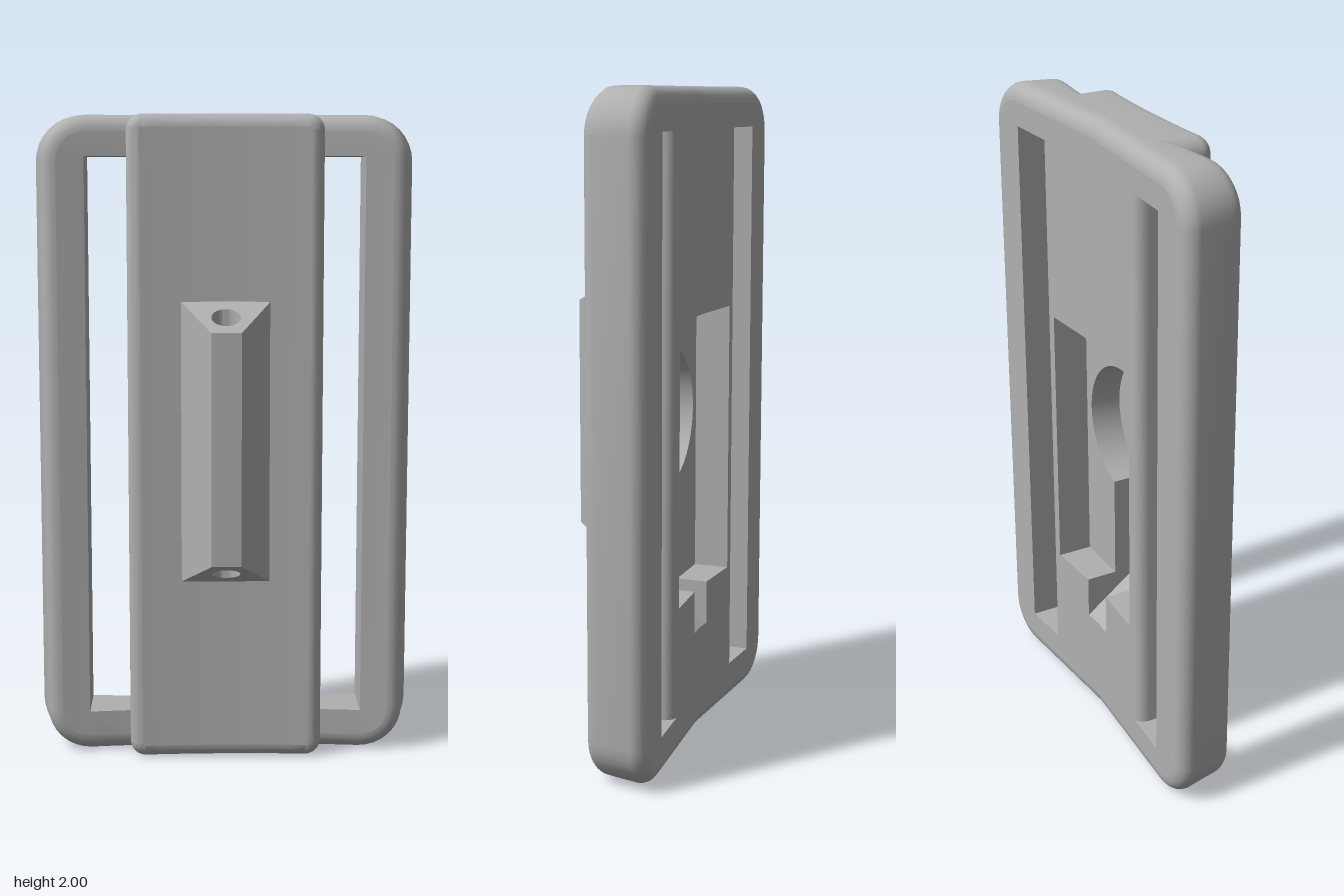
import * as THREE from 'three';
import { toCreasedNormals } from 'three/addons/utils/BufferGeometryUtils.js';

const V = (x, y, z) => new THREE.Vector3(x, y, z);

// Depth rules: the plate thickens and the front bows outward away from the middle
const backZ = (x) => -0.175 - 0.064 * x;
const frameZ = (x) => -0.05 + 0.14 * x * x;
const blockZ = (x) => 0.04 + 0.14 * x * x;

// Surface through rows of points
function loft(rows, flip = false) {
  const n = rows[0].length, index = [];
  for (let i = 0; i < rows.length - 1; i++) {
    for (let j = 0; j < n - 1; j++) {
      const a = i * n + j, b = a + 1, d = a + n, c = d + 1;
      index.push(...(flip ? [a, c, b, a, d, c] : [a, b, c, a, c, d]));
    }
  }
  const geo = new THREE.BufferGeometry().setFromPoints(rows.flat());
  geo.setIndex(index);
  return toCreasedNormals(geo, 0.6);
}

// Filled 2D outline placed in space by a mapping rule
function cap(points, map, flip = false, hole = null) {
  const to2 = (list) => list.map(([u, v]) => new THREE.Vector2(u, v));
  const shape = new THREE.Shape(to2(points));
  if (hole) shape.holes.push(new THREE.Path(to2(hole)));
  const geo = new THREE.ShapeGeometry(shape);
  const p = geo.attributes.position;
  for (let i = 0; i < p.count; i++) p.setXYZ(i, ...map(p.getX(i), p.getY(i)));
  if (flip) geo.index.array.reverse();
  return toCreasedNormals(geo, 0.6);
}

// Right half of a rounded rectangle 2 high, from bottom middle to top middle
function outline(w, r, inset) {
  const low = [];
  for (let i = 0; i <= 6; i++) low.push([(i / 6) * (w - r), inset]);
  for (let i = 1; i <= 8; i++) {
    const a = (i / 8) * Math.PI / 2;
    low.push([w - r + (r - inset) * Math.sin(a), r - (r - inset) * Math.cos(a)]);
  }
  return [...low, ...low.map(([x, y]) => [x, 2 - y]).reverse()];
}

const steps = (n) => Array.from({ length: n + 1 }, (_, i) => (i / n) * Math.PI / 2);

export function createModel() {
  const model = new THREE.Group();
  model.name = 'strapBuckle';
  const grey = new THREE.MeshStandardMaterial({ color: 0xb0b0b0, side: THREE.DoubleSide });
  const half = new THREE.Group();
  half.name = 'leftHalf';
  const add = (name, geo, parent = half) => {
    const mesh = new THREE.Mesh(geo, grey);
    mesh.name = name;
    parent.add(mesh);
  };

  // Frame rim: rounded back edge, slightly tapering side, rounded front edge
  const r = 0.05;
  const rim = [
    ...steps(6).map((a) => outline(0.587, 0.14, r * (1 - Math.sin(a)))
      .map(([x, y]) => V(x, y, backZ(x) + r * (1 - Math.cos(a))))),
    ...steps(6).map((a) => outline(0.565, 0.14, r * (1 - Math.cos(a)))
      .map(([x, y]) => V(x, y, frameZ(x) - r * (1 - Math.sin(a))))),
  ];
  add('frameRim', loft(rim));
  const xy = (row) => row.map((p) => [p.x, p.y]);

  // Strap slot, flaring toward the middle at the back
  const slotLoop = (x0) => [[x0, 0.13], [0.43, 0.13], [0.43, 1.875], [x0, 1.875], [x0, 0.13]];
  const slotRow = (x0, zRule) => slotLoop(x0).map(([x, y]) => V(x, y, zRule(x)));
  add('slotWalls', loft([
    ...steps(5).map((a) => slotRow(0.298 - 0.038 * (1 - Math.sin(a)),
      (x) => backZ(x) + 0.04 * (1 - Math.cos(a)))),
    slotRow(0.298, frameZ),
  ], true));

  // Back face with the slot and the pocket opening
  const [px, pTop, pLow, kx, rampLow, rampTop] = [0.24, 1.32, 0.465, 0.06, 0.33, 0.48];
  const floorZ = -0.08, keyZ = 0.02;
  add('backFace', cap([
    ...xy(rim[0]), [0, pTop], [px, pTop], [px, pLow], [kx, pLow], [kx, rampLow], [0, rampLow],
  ], (x, y) => [x, y, backZ(x)], true, slotLoop(0.26).slice(0, 4)));

  // Front face of the frame beside the middle block
  add('frameFront', cap([
    [0.28, r], ...xy(rim.at(-1)).filter(([x]) => x > 0.28), [0.28, 2 - r],
  ], (x, y) => [x, y, frameZ(x)], false, slotLoop(0.29).slice(0, 4)));

  // Raised middle block with rounded front edges
  const f = 0.04;
  const block = [
    outline(0.3, 0.05, 0).map(([x, y]) => V(x, y, -0.1)),
    ...steps(6).map((a) => outline(0.3, 0.05, f * (1 - Math.cos(a)))
      .map(([x, y]) => V(x, y, blockZ(x) - f * (1 - Math.sin(a))))),
  ];
  const edge = block.at(-1), mid = edge.length / 2;
  add('blockSides', loft(block));
  add('blockFront', loft([edge.slice(0, mid), edge.slice(mid).reverse()]));

  // Keyhole arc from the top middle down to the narrow slot
  const kr = 0.21, kc = 1.0, end = Math.PI - Math.asin(kx / kr);
  const arc = Array.from({ length: 25 }, (_, i) => {
    const a = (i / 24) * end;
    return [kr * Math.sin(a), kc + kr * Math.cos(a)];
  });
  const neckY = arc.at(-1)[1];

  // Pocket in the back
  const pocket = [[0, pTop], [px, pTop], [px, pLow], [kx, pLow]];
  add('pocketWalls', loft([
    pocket.map(([x, y]) => V(x, y, backZ(x))),
    pocket.map(([x, y]) => V(x, y, floorZ)),
  ]));
  add('pocketFloor', cap([...arc, ...[...pocket].reverse()], (x, y) => [x, y, floorZ], true));

  // Keyhole recess with its neck and sloping lead-in
  add('keyholeWall', loft([floorZ, keyZ].map((z) => arc.map(([x, y]) => V(x, y, z)))));
  add('keyholeFloor', cap([...arc, [kx, rampTop], [0, rampTop]], (x, y) => [x, y, keyZ], true));
  add('neckWall', cap([
    [pLow, backZ(kx)], [rampLow, backZ(kx)], [rampTop, keyZ],
    [neckY, keyZ], [neckY, floorZ], [pLow, floorZ],
  ], (y, z) => [kx, y, z], true));
  add('ramp', cap([[0, rampLow], [kx, rampLow], [kx, rampTop], [0, rampTop]],
    (x, y) => [x, y, THREE.MathUtils.mapLinear(y, rampLow, rampTop, backZ(x), keyZ)], true));

  const other = half.clone();
  other.name = 'rightHalf';
  other.scale.x = -1;
  model.add(half, other);

  // Front lug: tapered bar with a cord hole running lengthwise
  const section = new THREE.Shape([[-0.143, -0.03], [0.143, -0.03], [0.045, -0.205], [-0.045, -0.205]]
    .map(([x, y]) => new THREE.Vector2(x, y)));
  section.holes.push(new THREE.Path().absarc(0, -0.125, 0.044, 0, Math.PI * 2, true));
  const lug = new THREE.ExtrudeGeometry(section, { depth: 1, bevelEnabled: false, curveSegments: 32 });
  lug.rotateX(-Math.PI / 2);
  const p = lug.attributes.position;
  for (let i = 0; i < p.count; i++) {
    const slope = 0.5 * (p.getZ(i) - 0.045);
    p.setY(i, p.getY(i) < 0.5 ? 0.57 + slope : 1.435 - slope);
  }
  add('cordLug', toCreasedNormals(lug, 0.5), model);

  return model;
}
